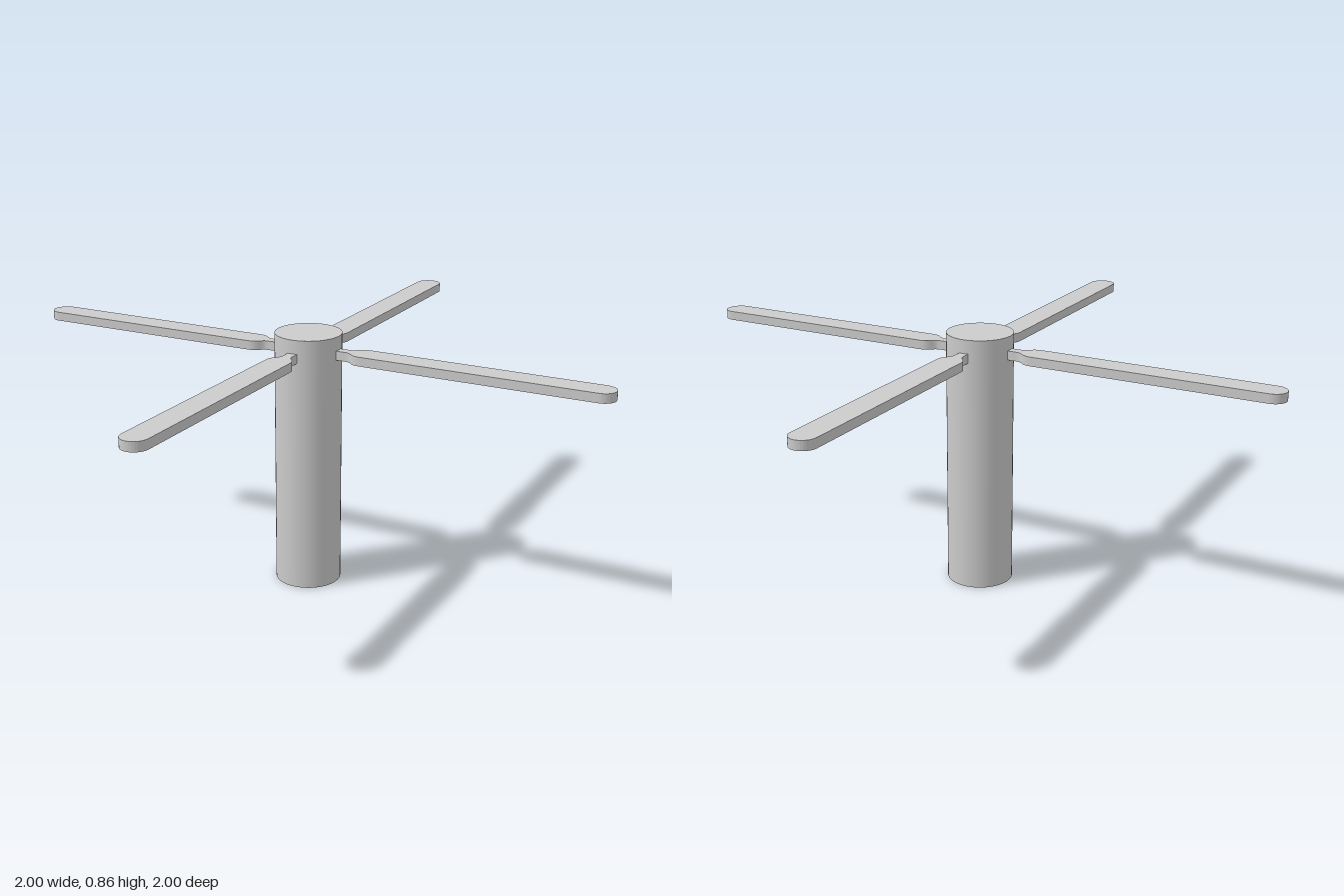
import * as THREE from 'three';

const BLADES = 4;
const SWEEP = 0.157;      // turn of the blade cross about the mast
const HALF_WIDTH = 0.043;
const STEM = 0.016;       // half width of the narrow neck
const TIP_CENTRE = 0.968;

// Blade outline along +x: narrow neck, soft shoulder, round tip
function bladeGeometry() {
  const s = new THREE.Shape();
  s.moveTo(0.06, -STEM);
  s.lineTo(0.14, -STEM);
  s.bezierCurveTo(0.165, -STEM, 0.165, -HALF_WIDTH, 0.2, -HALF_WIDTH);
  s.lineTo(TIP_CENTRE, -HALF_WIDTH);
  s.absarc(TIP_CENTRE, 0, HALF_WIDTH, -Math.PI / 2, Math.PI / 2, false);
  s.lineTo(0.2, HALF_WIDTH);
  s.bezierCurveTo(0.165, HALF_WIDTH, 0.165, STEM, 0.14, STEM);
  s.lineTo(0.06, STEM);
  s.closePath();
  const geometry = new THREE.ExtrudeGeometry(s, { depth: 0.03, bevelEnabled: false, curveSegments: 8 });
  return geometry.rotateX(-Math.PI / 2);
}

export function createModel() {
  const group = new THREE.Group();
  group.name = 'fourBladeRotor';
  const material = new THREE.MeshStandardMaterial({ color: 0xcccccc });

  // Upright mast
  const mast = new THREE.Mesh(new THREE.CylinderGeometry(0.109, 0.109, 0.855, 48), material);
  mast.name = 'mast';
  mast.position.y = 0.4275;
  group.add(mast);

  // Flat blades spaced evenly round the mast
  const geometry = bladeGeometry();
  for (let i = 0; i < BLADES; i++) {
    const blade = new THREE.Mesh(geometry, material);
    blade.name = `blade${i + 1}`;
    blade.position.y = 0.78;
    blade.rotation.y = -SWEEP + (i * Math.PI * 2) / BLADES;
    group.add(blade);
  }
  return group;
}
